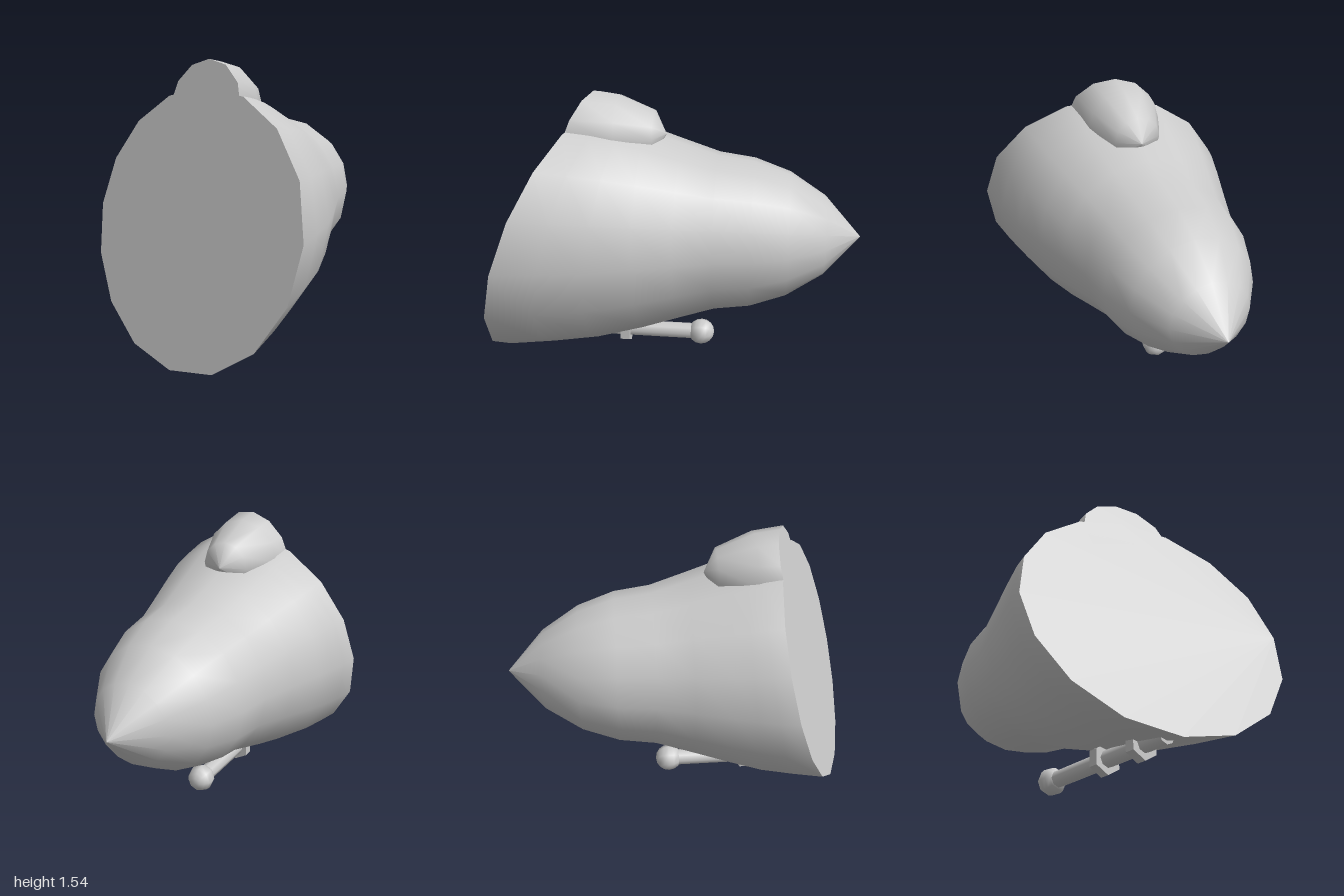
import * as THREE from 'three';

const AXIS_X = -0.03;
// Slanted plane that closes the open front end
const cutZ = (x, y) => 0.707 + 0.286 * (x - AXIS_X) - 0.286 * (y - 0.75);

// Radius at z, interpolated from [z, radius] pairs
function radiusAt(profile, z) {
  for (let i = 1; i < profile.length; i++) {
    const [z0, r0] = profile[i - 1], [z1, r1] = profile[i];
    if (z <= z1 || i === profile.length - 1) return r0 + (r1 - r0) * (z - z0) / (z1 - z0);
  }
}

// Pointed shell turned around the z axis and sliced by the slanted plane
function cutShell(profile, fixedRings, extraRings, cy, sides) {
  const pos = [], index = [], rim = [];
  const rings = fixedRings + extraRings;
  const lastZ = profile[fixedRings - 1][0];
  const point = (z, a) => {
    const r = radiusAt(profile, z);
    return [AXIS_X + r * Math.cos(a), cy + r * Math.sin(a), z];
  };
  for (let i = 0; i < rings; i++) {
    for (let j = 0; j < sides; j++) {
      const a = j / sides * Math.PI * 2;
      let z = 0.7;
      for (let k = 0; k < 20; k++) {
        const p = point(z, a);
        z = cutZ(p[0], p[1]);
      }
      if (i === rings - 1) rim.push(...point(z, a));
      const t = (i - fixedRings + 1) / extraRings;
      pos.push(...point(i < fixedRings ? profile[i][0] : lastZ + (z - lastZ) * t, a));
      if (i === rings - 1) continue;
      const p = i * sides + j, q = i * sides + (j + 1) % sides;
      if (i > 0) index.push(p, q, q + sides);
      index.push(p, q + sides, p + sides);
    }
  }
  const side = new THREE.BufferGeometry();
  side.setAttribute('position', new THREE.Float32BufferAttribute(pos, 3));
  side.setIndex(index);
  side.computeVertexNormals();

  // Flat end face as a fan
  const cap = new THREE.BufferGeometry();
  const fan = [];
  for (let j = 1; j < sides - 1; j++) fan.push(0, j, j + 1);
  cap.setAttribute('position', new THREE.Float32BufferAttribute(rim, 3));
  cap.setIndex(fan);
  cap.computeVertexNormals();
  return { side, cap };
}

export function createModel() {
  const group = new THREE.Group();
  const grey = new THREE.MeshStandardMaterial({ color: 0xcccccc });
  grey.name = 'grey';
  const add = (name, geometry, x = 0, y = 0, z = 0) => {
    const mesh = new THREE.Mesh(geometry, grey);
    mesh.name = name;
    mesh.position.set(x, y, z);
    group.add(mesh);
  };

  // Main pointed body
  const body = cutShell([
    [-1, 0], [-0.8, 0.222], [-0.6, 0.35], [-0.4, 0.42], [-0.2, 0.447], [0, 0.51],
    [0.2, 0.575], [0.4, 0.635], [0.6, 0.666], [0.8, 0.697], [1, 0.717],
  ], 7, 3, 0.75, 16);
  add('body', body.side);
  add('bodyFrontFace', body.cap);

  // Small pointed dome on top
  const dome = cutShell([[0.085, 0], [0.15, 0.13], [0.35, 0.212], [0.6, 0.245]], 3, 1, 1.31, 12);
  add('dome', dome.side);
  add('domeFrontFace', dome.cap);

  // Rod under the body with a ball end
  const rodY = 0.084;
  add('rod', new THREE.CylinderGeometry(0.047, 0.047, 0.9, 8).rotateX(Math.PI / 2), AXIS_X, rodY, 0.35);
  add('rodBall', new THREE.SphereGeometry(0.077, 8, 8).rotateX(Math.PI / 2), AXIS_X, rodY, -0.115);

  // Hexagonal clamps on the rod
  for (const z of [0.617, 0.337]) {
    const hex = new THREE.CylinderGeometry(0.084, 0.084, 0.056, 6).rotateX(Math.PI / 2).toNonIndexed();
    hex.computeVertexNormals();
    add('clamp', hex, AXIS_X, rodY, z);
  }
  return group;
}
